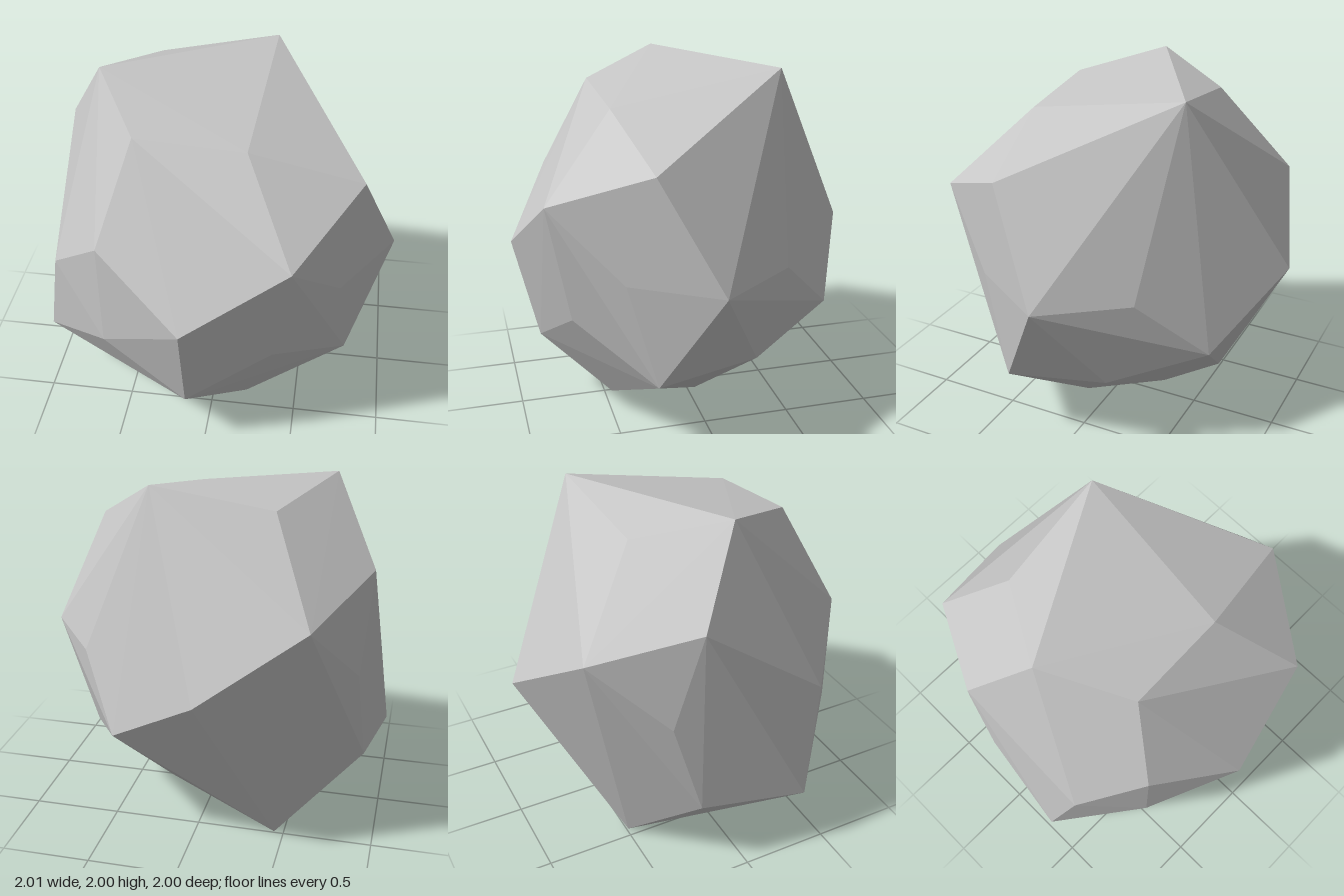
import * as THREE from 'three';
import { ConvexGeometry } from 'three/addons/geometries/ConvexGeometry.js';

// Distance of each rock point along its direction.
// Sign order: +++, -++, +-+, --+, ++-, -+-, +--, --- ; 0 leaves a point out.
const RINGS = [
  // icosahedron corners
  { dir: [0, 0.526, 0.851], radii: [0, 0, 1.06, 0, 0, 0, 0, 0] },
  { dir: [0.851, 0, 0.526], radii: [0.95, 0.93, 0, 0, 0.91, 0.91, 0, 0] },
  { dir: [0.526, 0.851, 0], radii: [0, 1.08, 0.9, 0, 0, 0, 0, 0] },
  // axis points
  { dir: [0, 0, 1], radii: [1.054, 0, 0, 0, 1.12, 0, 0, 0] },
  { dir: [1, 0, 0], radii: [1.1, 0.86, 0, 0, 0, 0, 0, 0] },
  { dir: [0, 1, 0], radii: [0, 0, 0.9, 0, 0, 0, 0, 0] },
  // edge midpoints
  { dir: [0.5, 0.309, 0.809], radii: [1.12, 0.95, 0.94, 0.95, 0.875, 1.11, 1.035, 0] },
  { dir: [0.809, 0.5, 0.309], radii: [1.105, 0, 1.07, 1.12, 0, 1.01, 0.96, 1.01] },
  { dir: [0.309, 0.809, 0.5], radii: [0.92, 0.98, 1.0, 0.945, 1.13, 1.0, 0.88, 1.13] },
];

const CENTRE = new THREE.Vector3(-0.1, 1, 0.03);
const STRETCH = new THREE.Vector3(1, 1.09, 0.92);

function rockPoints() {
  const points = [];
  for (const { dir, radii } of RINGS) {
    radii.forEach((r, i) => {
      if (r === 0) return;
      const p = new THREE.Vector3(
        dir[0] * (i & 1 ? -1 : 1),
        dir[1] * (i & 2 ? -1 : 1),
        dir[2] * (i & 4 ? -1 : 1)
      );
      points.push(p.multiplyScalar(r).multiply(STRETCH).add(CENTRE));
    });
  }
  return points;
}

export function createModel() {
  const group = new THREE.Group();
  group.name = 'rock';

  const stone = new THREE.MeshStandardMaterial({ color: 0xc6c6c6 });
  stone.name = 'light stone grey';

  // faceted boulder wrapped around the points
  const geometry = new ConvexGeometry(rockPoints());

  // stand it on the ground, centred
  geometry.computeBoundingBox();
  const { min, max } = geometry.boundingBox;
  geometry.translate(-(min.x + max.x) / 2, -min.y, -(min.z + max.z) / 2);

  const boulder = new THREE.Mesh(geometry, stone);
  boulder.name = 'boulder';
  group.add(boulder);
  return group;
}
